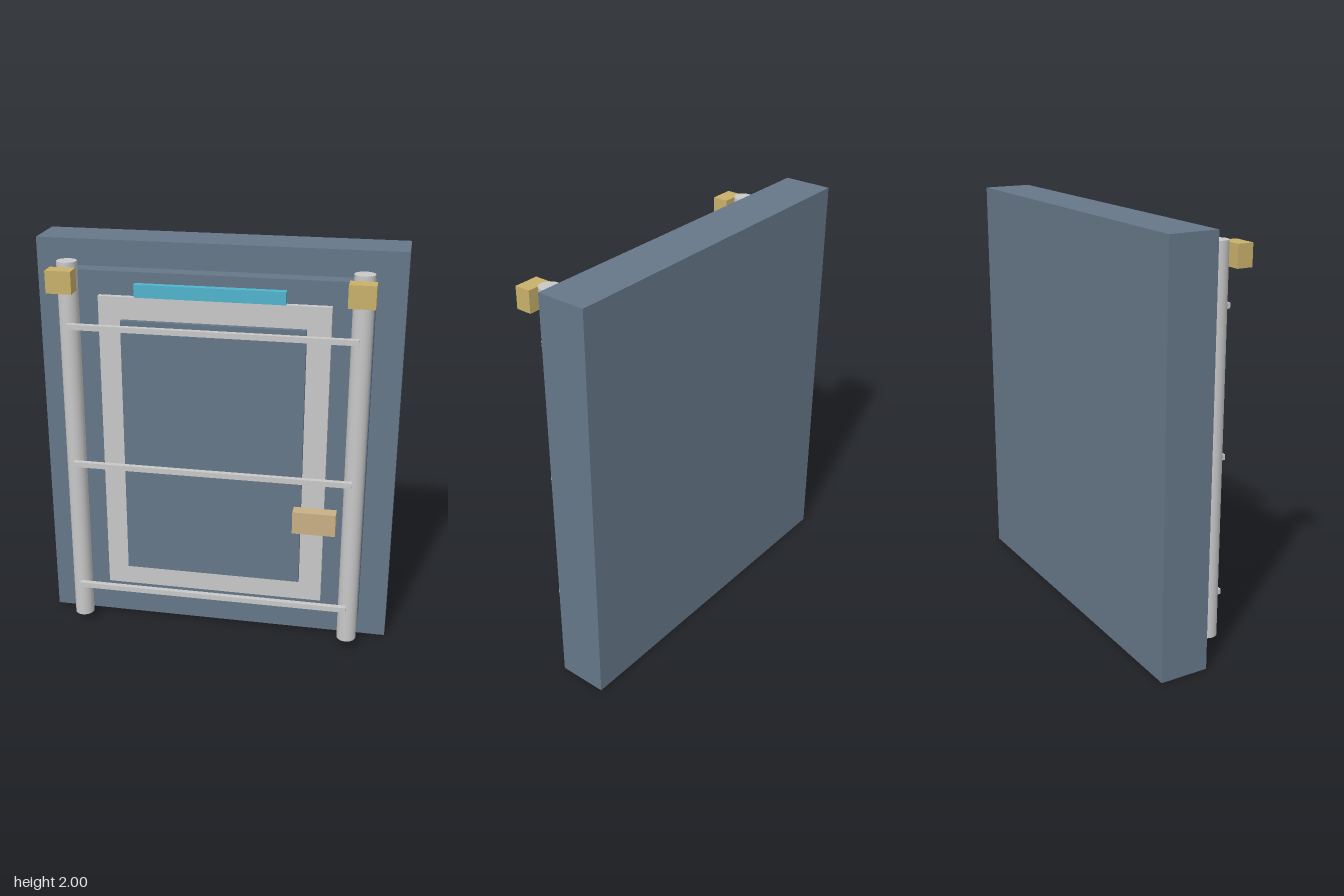
import * as THREE from 'three';

const material = (name, color) => {
  const m = new THREE.MeshStandardMaterial({ color });
  m.name = name;
  return m;
};

export function createModel() {
  const group = new THREE.Group();
  const slate = material('slate blue', 0x667788);
  const steel = material('light steel', 0xc8c8c8);
  const brass = material('brass', 0xc9b06a);
  const tan = material('tan', 0xc8b084);
  const cyan = material('cyan', 0x50b4cd);

  // Box given by its extents on each axis
  const box = (name, mat, [x0, x1], [y0, y1], [z0, z1]) => {
    const mesh = new THREE.Mesh(new THREE.BoxGeometry(x1 - x0, y1 - y0, z1 - z0), mat);
    mesh.position.set((x0 + x1) / 2, (y0 + y1) / 2, (z0 + z1) / 2);
    mesh.name = name;
    group.add(mesh);
  };

  // Layered door: wall slab, raised panel, pale frame, inner panel
  box('wallSlab', slate, [-0.876, 0.876], [0, 2], [-0.254, -0.015]);
  box('raisedPanel', slate, [-0.737, 0.737], [0.13, 1.873], [-0.015, 0.069]);
  box('framePlate', steel, [-0.548, 0.548], [0.24, 1.761], [0.076, 0.105]);
  box('innerPanel', slate, [-0.437, 0.437], [0.35, 1.653], [0.105, 0.13]);

  // Side posts with brass blocks near the top
  for (const side of [-1, 1]) {
    const post = new THREE.Mesh(new THREE.CylinderGeometry(0.048, 0.048, 1.872, 24), steel);
    post.position.set(side * 0.687, 0.988, 0.115);
    post.name = side > 0 ? 'leftPost' : 'rightPost';
    group.add(post);
    const cx = side * 0.687;
    box(side > 0 ? 'leftBlock' : 'rightBlock', brass, [cx - 0.061, cx + 0.061], [1.801, 1.907], [0.176, 0.254]);
  }

  // Cross rails
  for (const y of [0.25, 0.927, 1.628]) {
    box('crossRail', steel, [-0.681, 0.681], [y - 0.013, y + 0.013], [0.168, 0.194]);
  }

  // Light strip and latch
  box('lightStrip', cyan, [-0.349, 0.349], [1.787, 1.847], [0.164, 0.199]);
  box('latch', tan, [0.408, 0.615], [0.67, 0.782], [0.164, 0.227]);

  return group;
}
